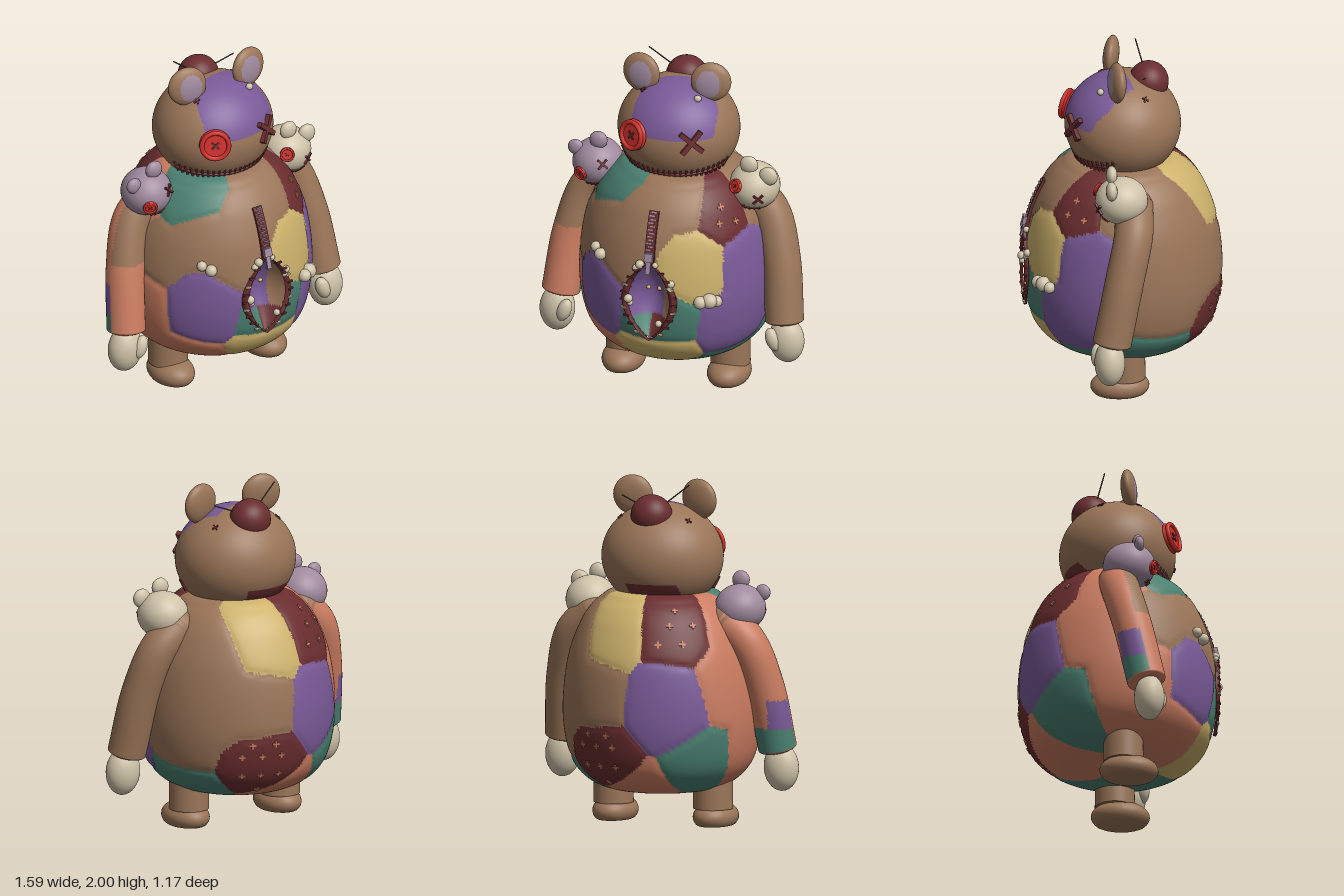
import * as THREE from 'three';
import { mergeVertices } from 'three/addons/utils/BufferGeometryUtils.js';
import { ParametricGeometry } from 'three/addons/geometries/ParametricGeometry.js';

const V = (x, y, z) => new THREE.Vector3(x, y, z);
const M = {};
for (const [name, color] of Object.entries({
  brown: 0x9a7558, purple: 0x7a5a98, teal: 0x4a8070, yellow: 0xcdb26c, salmon: 0xca7c60,
  maroon: 0x6a2d2f, cream: 0xcfc3a9, lilac: 0xa08a9e, red: 0xd0302a, metal: 0x4a4446,
})) {
  M[name] = new THREE.MeshStandardMaterial({ color });
  M[name].name = name;
}

// Body silhouette, revolved about y
const profile = new THREE.SplineCurve([[0, .2], [.24, .2], [.38, .235], [.48, .31], [.54, .42], [.572, .6], [.568, .8],
  [.535, 1], [.475, 1.16], [.42, 1.25], [.36, 1.31], [.27, 1.355], [0, 1.37]].map(p => new THREE.Vector2(...p))).getPoints(110);
function radiusAt(y) {
  const i = Math.max(1, profile.findIndex(p => p.y > y)), a = profile[i - 1], b = profile[i];
  return a.x + (b.x - a.x) * (y - a.y) / (b.y - a.y);
}
function bodyPoint(deg, y, lift = 0) {
  const a = deg * Math.PI / 180, r = radiusAt(y), slope = (radiusAt(y + .01) - radiusAt(y - .01)) / .02;
  const normal = V(Math.sin(a), -slope, Math.cos(a)).normalize();
  return { pos: V(r * Math.sin(a), y, r * Math.cos(a)).addScaledVector(normal, lift), normal };
}
const bodyFront = (x, y, lift) => bodyPoint(Math.asin(x / radiusAt(y)) * 180 / Math.PI, y, lift);

// Cloth patches: angle from the front, height, colour
const patches = [[-10, 1.13, 'brown'], [-16, .99, 'brown'], [-42, 1.08, 'brown'], [18, 1.27, 'brown'], [-72, .95, 'brown'],
  [-52, 1.26, 'teal'], [53, 1.2, 'maroon'], [25, .91, 'yellow'], [66, .88, 'purple'], [-40, .64, 'purple'], [5, .56, 'teal'],
  [54, .5, 'purple'], [4, .3, 'yellow'], [-52, .24, 'salmon'], [60, .21, 'teal'], [-82, .62, 'salmon'], [104, .9, 'brown'],
  [112, .58, 'brown'], [135, .78, 'brown'], [130, 1.05, 'brown'], [88, 1.2, 'brown'], [158, .8, 'brown'], [108, .26, 'teal'],
  [162, .42, 'maroon'], [166, 1.16, 'yellow'], [-146, 1.19, 'maroon'], [-153, .77, 'purple'], [-110, .88, 'salmon'],
  [-98, 1.15, 'salmon'], [-126, .34, 'teal'], [-92, .4, 'salmon'], [-172, .22, 'salmon'],
].map(([a, y, color]) => ({ pos: bodyPoint(a, y).pos, color }));
function patchAt(p) {
  let best = patches[0], d = Infinity, other = Infinity;
  for (const s of patches) { const e = s.pos.distanceTo(p); if (e < d) { d = e; best = s; } }
  for (const s of patches) if (s.color !== best.color) other = Math.min(other, s.pos.distanceTo(p));
  return { color: best.color, gap: other - d };
}

// Sorts triangles into colour groups by a rule on their centres; an empty colour removes them
function painted(geo, rule) {
  const pos = geo.attributes.position, ix = geo.index.array, bins = {};
  for (let i = 0; i < ix.length; i += 3) {
    const c = V(0, 0, 0);
    for (let k = 0; k < 3; k++) c.add(V().fromBufferAttribute(pos, ix[i + k]));
    const key = rule(c.divideScalar(3));
    if (key) (bins[key] ??= []).push(ix[i], ix[i + 1], ix[i + 2]);
  }
  const all = [], mats = [];
  geo.clearGroups();
  for (const [key, list] of Object.entries(bins)) {
    geo.addGroup(all.length, list.length, mats.length);
    mats.push(M[key]);
    for (const v of list) all.push(v);
  }
  geo.setIndex(all);
  return new THREE.Mesh(geo, mats);
}

export function createModel() {
  const root = new THREE.Group();
  const add = (name, obj, parent = root) => { obj.name = name; parent.add(obj); return obj; };
  const mesh = (geo, mat) => new THREE.Mesh(geo, M[mat]);
  const ball = (name, mat, p, s) => {
    const n = Math.max(...s) > .09 ? 32 : 16;
    const m = add(name, mesh(new THREE.SphereGeometry(1, n, n * .625), mat));
    m.position.set(...p);
    m.scale.set(...s);
    return m;
  };
  const place = (obj, { pos, normal }) => { obj.position.copy(pos); obj.lookAt(pos.clone().add(normal)); return obj; };
  const rod = (name, mat, a, b, r) => {
    const m = add(name, mesh(new THREE.CylinderGeometry(r, r, a.distanceTo(b), 8), mat));
    m.position.copy(a).lerp(b, .5);
    m.quaternion.setFromUnitVectors(V(0, 1, 0), b.clone().sub(a).normalize());
  };
  // Two crossed bars, thin across the surface
  const cross = (name, mat, at, size, width, depth, turn) => {
    const g = add(name, new THREE.Group());
    for (const t of [turn, turn + Math.PI / 2]) {
      const bar = add('crossBar', mesh(new THREE.BoxGeometry(size, width, depth), mat), g);
      bar.rotation.z = t;
    }
    place(g, at);
  };
  // Point on the front or back half of an ellipsoid
  const onEllipsoid = (c, r, x, y, lift = 0, side = 1) => {
    const dx = (x - c[0]) / r[0], dy = (y - c[1]) / r[1], dz = side * Math.sqrt(Math.max(0, 1 - dx * dx - dy * dy));
    const normal = V(dx / r[0], dy / r[1], dz / r[2]).normalize();
    return { pos: V(x, y, c[2] + dz * r[2]).addScaledVector(normal, lift), normal };
  };
  const button = (name, at, r) => {
    const g = add(name, new THREE.Group());
    const disc = add('buttonDisc', mesh(new THREE.CylinderGeometry(r * .9, r, r * .3, 32), 'red'), g);
    disc.rotation.x = Math.PI / 2;
    const rim = add('buttonRim', mesh(new THREE.TorusGeometry(r * .85, r * .15, 8, 32), 'red'), g);
    rim.position.z = r * .16;
    place(g, at);
    const lifted = { pos: at.pos.clone().addScaledVector(at.normal, r * .18), normal: at.normal };
    cross('buttonThread', 'maroon', lifted, r * .6, r * .13, r * .1, .8);
  };

  // Belly opening: a pointed oval between these heights
  const lo = .44, hi = .93, gape = y => .135 * Math.sin(Math.PI * THREE.MathUtils.clamp((y - lo) / (hi - lo), 0, 1)) ** .8;

  // Patchwork body, pinched along the seams
  let body = new THREE.LatheGeometry(profile, 200, Math.PI);
  body.deleteAttribute('uv');
  body.deleteAttribute('normal');
  body = mergeVertices(body, 1e-4);
  const bp = body.attributes.position;
  for (let i = 0; i < bp.count; i++) {
    const p = V().fromBufferAttribute(bp, i), k = 1 - .02 * Math.exp(-patchAt(p).gap / .025);
    bp.setXYZ(i, p.x * k, p.y, p.z * k);
  }
  body.computeVertexNormals();
  add('body', painted(body, c => c.z > 0 && Math.abs(c.x) < gape(c.y) * .96 ? '' : patchAt(c).color));

  // Hollow belly lining, torn flaps and teeth
  const lining = new ParametricGeometry((u, v, t) => {
    const y = lo + (hi - lo) * v, s = 2 * u - 1, p = bodyFront(s * gape(y), y).pos;
    t.set(p.x, y, p.z - .13 * (1 - s * s) * Math.sin(Math.PI * v) - .004);
  }, 24, 32);
  add('bellyLining', painted(lining, c => c.y < .57 ? (c.x < -.01 ? 'teal' : 'maroon') : c.x > .06 ? 'brown' : 'purple'));
  for (const s of [-1, 1]) {
    const flap = new ParametricGeometry((u, v, t) => {
      const k = s > 0 ? u : 1 - u, y = lo + (hi - lo) * v;
      t.copy(bodyFront(s * (gape(y) * .9 + .045 * k * Math.sin(Math.PI * v)), y, .004 + .02 * Math.sin(Math.PI * k)).pos);
    }, 8, 32);
    add('bellyFlap', mesh(flap, 'maroon'));
    for (let i = 0; i < 9; i++) {
      const y = lo + .05 + i * .048;
      const tooth = add('flapStitch', mesh(new THREE.BoxGeometry(.034, .01, .012), i % 3 ? 'maroon' : 'cream'));
      place(tooth, bodyFront(s * (gape(y) + .015), y, .022));
    }
    ball('peepingEye', 'yellow', [s * .033 - .005, .72, .45], [.013, .013, .013]);
  }

  // Zip with teeth and a pull
  for (let i = 0; i < 16; i++) {
    const y = .93 + i * .018;
    place(add('zipTape', mesh(new THREE.BoxGeometry(.058, .022, .02), 'maroon')), bodyFront(0, y, .004));
    place(add('zipTooth', mesh(new THREE.BoxGeometry(.032, .008, .012), 'lilac')), bodyFront(i % 2 ? .005 : -.005, y, .016));
  }
  place(add('zipSlider', mesh(new THREE.BoxGeometry(.05, .05, .03), 'lilac')), bodyFront(0, .96, .02));
  const pull = add('zipPull', mesh(new THREE.BoxGeometry(.028, .1, .012), 'lilac'));
  pull.position.set(0, .915, .575);
  pull.rotation.x = -.25;

  // Stuffing lumps poking out of the seams
  for (const [x, y, r] of [[-.355, .92, .03], [-.315, .895, .035], [.285, .695, .038], [.33, .7, .045], [.365, .69, .034],
    [-.055, .91, .026], [-.08, .885, .02], [-.12, .69, .026], [-.11, .665, .018], [.13, .81, .022], [.12, .785, .018],
    [.06, .555, .02], [.035, .915, .018]])
    ball('stuffing', 'cream', bodyFront(x, y, r * .4).pos.toArray(), [r, r, r]);

  // Plus signs printed on the dark patches
  for (const [a, y] of [[150, .5], [162, .5], [174, .5], [150, .38], [162, .38], [174, .38], [162, .28], [156, .57], [170, .57],
    [-133, 1.2], [-150, 1.2], [-142, 1.1], [-158, 1.1], [-145, 1.28], [50, 1.21], [46, 1.13], [59, 1.12]])
    cross('printedPlus', 'salmon', bodyPoint(a, y, .003), .04, .011, .006, 0);

  // Head with a cloth patch over the brow and one at the nape
  const hc = [0, 1.55, 0], hr = [.355, .312, .335];
  const head = new THREE.SphereGeometry(1, 112, 72).scale(...hr).translate(...hc);
  add('head', painted(head, ({ x, y, z }) => {
    if (y > 1.6 - .05 * Math.min(0, x + .1) && z > -.01 - .25 * x && z > x * 1.4 - .28 && x > -.2 - (z - .15) * .15 && x < .275) return 'purple';
    return y < 1.42 && z < -.12 && x > -.2 && x < .1 ? 'maroon' : 'brown';
  }));
  button('buttonEye', onEllipsoid(hc, hr, -.175, 1.597, .012), .092);
  cross('crossEye', 'maroon', onEllipsoid(hc, hr, .168, 1.597, .008), .17, .028, .028, .85);
  ball('headStuffing', 'cream', onEllipsoid(hc, hr, .155, 1.8, .01).pos.toArray(), [.022, .02, .02]);
  ball('headStuffing', 'cream', onEllipsoid(hc, hr, .185, 1.81, .012).pos.toArray(), [.03, .026, .026]);
  for (const [x, y, side] of [[-.215, 1.775, -1], [.215, 1.775, -1], [-.18, 1.8, 1]])
    cross('smallCrossStitch', 'maroon', onEllipsoid(hc, hr, x, y, .003, side), .04, .009, .008, .8);

  // Stitched mouth around the chin
  const mouth = Array.from({ length: 25 }, (_, i) => {
    const a = (i / 24 - .5) * 2.6, y = 1.365 + .035 * (a / 1.3) ** 2, k = Math.sqrt(1 - ((y - hc[1]) / hr[1]) ** 2) + .012;
    return V(hr[0] * k * Math.sin(a), y, hr[2] * k * Math.cos(a));
  });
  add('mouthSeam', mesh(new THREE.TubeGeometry(new THREE.CatmullRomCurve3(mouth), 60, .009, 8), 'maroon'));
  for (const p of mouth) {
    const out = V(p.x, 0, p.z).normalize();
    rod('mouthStitch', 'maroon', p.clone().add(V(0, -.03, 0)).addScaledVector(out, -.015),
      p.clone().add(V(0, .035, 0)).addScaledVector(out, .018), .007);
  }

  // Round pincushion at the back of the crown, with two pins
  ball('pincushion', 'maroon', [0, 1.803, -.15], [.122, .118, .115]);
  rod('pin', 'metal', V(-.21, 1.98, -.09), V(-.05, 1.85, -.13), .004);
  rod('pin', 'metal', V(.21, 1.9, -.1), V(.05, 1.84, -.13), .004);

  for (const s of [-1, 1]) {
    // Ears with a lining facing forward
    const ear = add('ear', painted(new THREE.SphereGeometry(1, 56, 40).scale(.117, .117, .046),
      c => c.z > 0 && ((c.x + s * .012) / .07) ** 2 + ((c.y + .005) / .082) ** 2 < 1 ? 'lilac' : 'brown'));
    ear.position.set(s * .21, 1.883, .05);
    ear.rotation.set(-.08, s * .2, 0);

    // Arms: one plain, one patched
    const path = new THREE.CatmullRomCurve3([[.4, 1.21, -.03], [.545, 1.08, -.02], [.63, .82, .04], [.675, .46, .115]]
      .map(([x, y, z]) => V(s * x, y, z)));
    const armRule = c => {
      if (s > 0) return 'brown';
      if (c.z > .13 - (c.y - .46) * .2) return c.y > .87 ? 'brown' : 'salmon';
      return c.y < .58 ? 'teal' : c.y < .75 && c.x < -.68 ? 'purple' : 'salmon';
    };
    add('arm', painted(new THREE.TubeGeometry(path, 50, .112, 36), armRule));
    ball('shoulder', 'brown', [s * .42, 1.19, -.03], [.12, .115, .112]);
    const cuff = ball('cuff', s > 0 ? 'brown' : 'salmon', [s * .675, .462, .115], [.112, .03, .112]);
    cuff.rotation.set(-.2, 0, s * .12);

    // Hands and thumbs
    const hand = ball('hand', 'cream', [s * .692, .345, .13], [.104, .138, .088]);
    hand.rotation.z = s * .06;
    const thumb = ball('thumb', 'cream', [s * .63, .365, .195], [.042, .072, .04]);
    thumb.rotation.z = s * .35;

    // Legs and flat-soled feet
    const leg = add('leg', mesh(new THREE.CylinderGeometry(.112, .116, .3, 40), 'brown'));
    leg.position.set(s * .315, .25, .01);
    const sole = new THREE.SphereGeometry(1, 36, 24).scale(.124, .088, .17);
    const sp = sole.attributes.position;
    for (let i = 0; i < sp.count; i++) sp.setY(i, Math.max(-.05, sp.getY(i)));
    sole.computeVertexNormals();
    add('foot', mesh(sole, 'brown')).position.set(s * .318, .05, .042);
  }

  // Little spare heads sitting on the shoulders
  const spareHead = (name, mat, c, ears, buttonAt, crossAt, mouthAt) => {
    const r = [.148, .138, .152];
    ball(name, mat, c, r);
    for (const [x, y, z, e] of ears) ball(name + 'Ear', mat, [x, y, z], [e, e, e * .6]);
    button(name + 'Button', onEllipsoid(c, r, ...buttonAt, .003), .042);
    cross(name + 'CrossEye', 'maroon', onEllipsoid(c, r, ...crossAt, .003), .075, .012, .012, .8);
    const pts = [0, .25, .5, .75, 1].map(t => onEllipsoid(c, r, mouthAt[0] + (mouthAt[2] - mouthAt[0]) * t,
      mouthAt[1] + (mouthAt[3] - mouthAt[1]) * t - .012 * Math.sin(Math.PI * t), .002));
    add(name + 'Mouth', mesh(new THREE.TubeGeometry(new THREE.CatmullRomCurve3(pts.map(p => p.pos)), 20, .005, 6), 'maroon'));
    for (const p of pts) place(add(name + 'Stitch', mesh(new THREE.BoxGeometry(.008, .03, .012), 'maroon')), p);
  };
  spareHead('lilacHead', 'lilac', [-.478, 1.27, .03], [[-.598, 1.36, .08, .047], [-.46, 1.425, .08, .054]],
    [-.54, 1.24], [-.41, 1.31], [-.51, 1.17, -.41, 1.2]);
  spareHead('creamHead', 'cream', [.472, 1.262, .045], [[.455, 1.412, .1, .054], [.575, 1.36, .11, .056]],
    [.4, 1.3], [.535, 1.238], [.42, 1.19, .53, 1.165]);

  return root;
}
